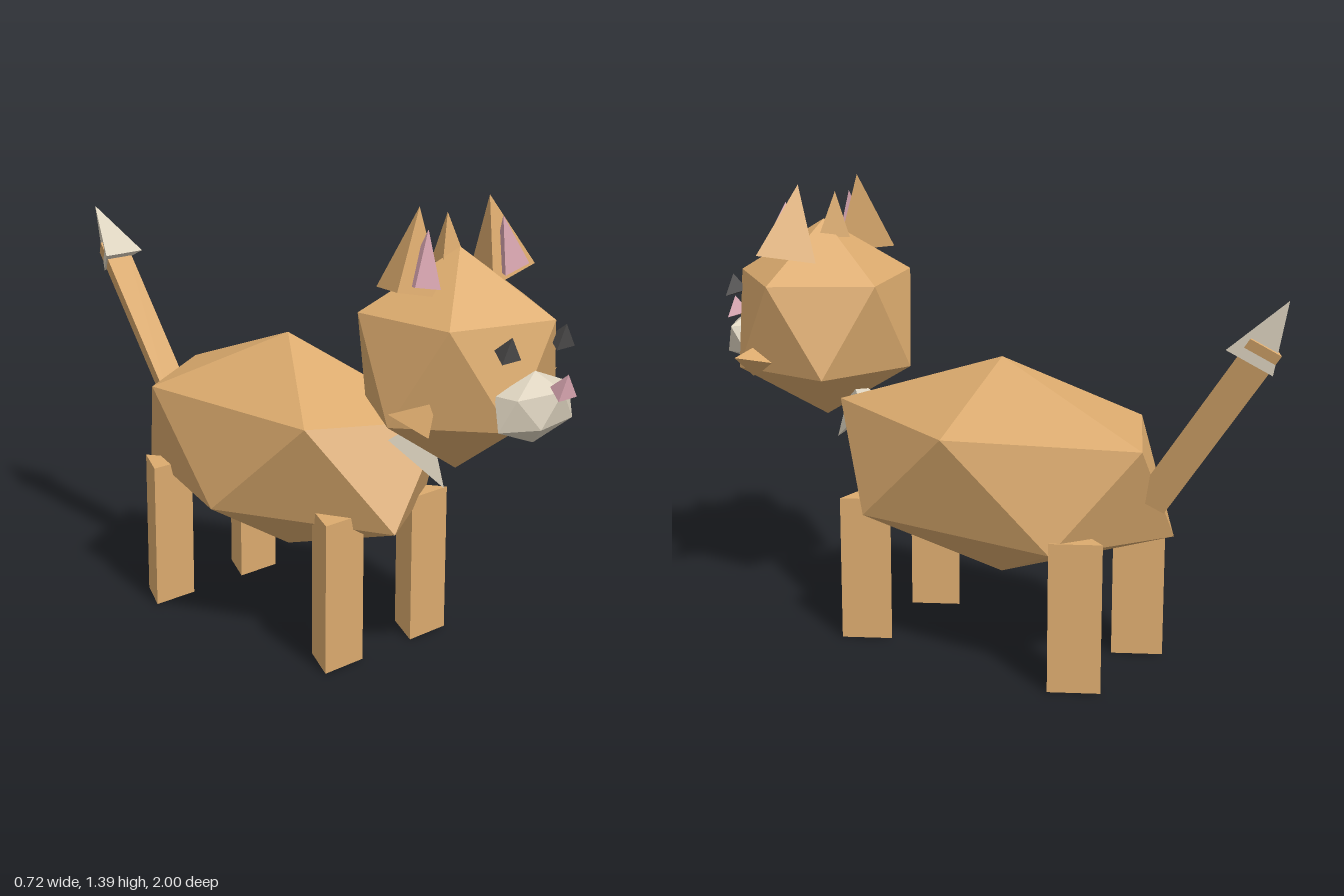
import * as THREE from 'three';

export function createModel() {
  const model = new THREE.Group();
  const material = (name, color) => {
    const m = new THREE.MeshStandardMaterial({ color, flatShading: true });
    m.name = name;
    return m;
  };
  const tan = material('tan fur', 0xdcab6e);
  const cream = material('cream fur', 0xdcd2be);
  const pink = material('pink skin', 0xd8a5b0);
  const dark = material('dark eye', 0x4a4848);

  const V = (x, y, z) => new THREE.Vector3(x, y, z);

  function add(name, geometry, mat) {
    const mesh = new THREE.Mesh(geometry, mat);
    mesh.name = name;
    model.add(mesh);
    return mesh;
  }

  // Stretched icosahedron with one corner straight up
  function blob(name, mat, radii, centre) {
    const g = new THREE.IcosahedronGeometry(1, 0);
    g.rotateZ(-Math.atan(2 / (1 + Math.sqrt(5))));
    g.scale(...radii);
    add(name, g, mat).position.set(...centre);
  }

  // Three-sided cone or prism from base centre to tip; one base corner points along ref
  function spike(name, mat, radius, base, tip, ref, topRadius = 0) {
    const axis = tip.clone().sub(base);
    const length = axis.length();
    const g = topRadius
      ? new THREE.CylinderGeometry(topRadius, radius, length, 3)
      : new THREE.ConeGeometry(radius, length, 3);
    g.translate(0, length / 2, 0);
    const y = axis.normalize();
    const x = y.clone().cross(ref).normalize();
    const z = x.clone().cross(y);
    g.applyMatrix4(new THREE.Matrix4().makeBasis(x, y, z).setPosition(base));
    add(name, g, mat);
  }

  const up = V(0, 1, 0), back = V(0, 0, -1);

  // Body, head and muzzle
  blob('body', tan, [0.36, 0.34, 0.64], [0, 0.57, -0.065]);
  blob('head', tan, [0.317, 0.317, 0.317], [0, 0.948, 0.615]);
  blob('muzzle', cream, [0.165, 0.1, 0.074], [0, 0.865, 0.888]);

  // Nose, forelock and chest tuft
  spike('nose', pink, 0.045, V(0, 0.93, 1.0), V(0, 0.93, 0.94), up);
  spike('forelock', tan, 0.057, V(0, 1.215, 0.567), V(0, 1.355, 0.567), back);
  spike('chestTuft', cream, 0.08, V(0, 0.71, 0.45), V(0, 0.56, 0.575), V(0, 0.64, 0.77));

  // Paired parts
  for (const [side, s] of [['left', 1], ['right', -1]]) {
    spike(side + 'Eye', dark, 0.045, V(s * 0.115, 1.032, 0.9), V(s * 0.115, 1.032, 0.84), up);
    spike(side + 'Ear', tan, 0.107, V(s * 0.197, 1.163, 0.594), V(s * 0.145, 1.39, 0.594), back);
    spike(side + 'InnerEar', pink, 0.061, V(s * 0.187, 1.182, 0.636), V(s * 0.155, 1.335, 0.636), back);
    spike(side + 'CheekTuft', tan, 0.057, V(s * 0.22, 0.835, 0.692), V(s * 0.358, 0.873, 0.685), back);
    for (const [end, z] of [['Front', 0.315], ['Rear', -0.445]]) {
      spike(side + end + 'Leg', tan, 0.09, V(s * 0.1825, 0, z), V(s * 0.1825, 0.455, z), back, 0.09);
    }
  }

  // Tail and its pale tip
  spike('tail', tan, 0.058, V(0, 0.551, -0.58), V(0, 1.062, -0.93), back, 0.058);
  spike('tailTip', cream, 0.087, V(0, 1.02, -0.882), V(0, 1.185, -0.995), back);

  return model;
}
